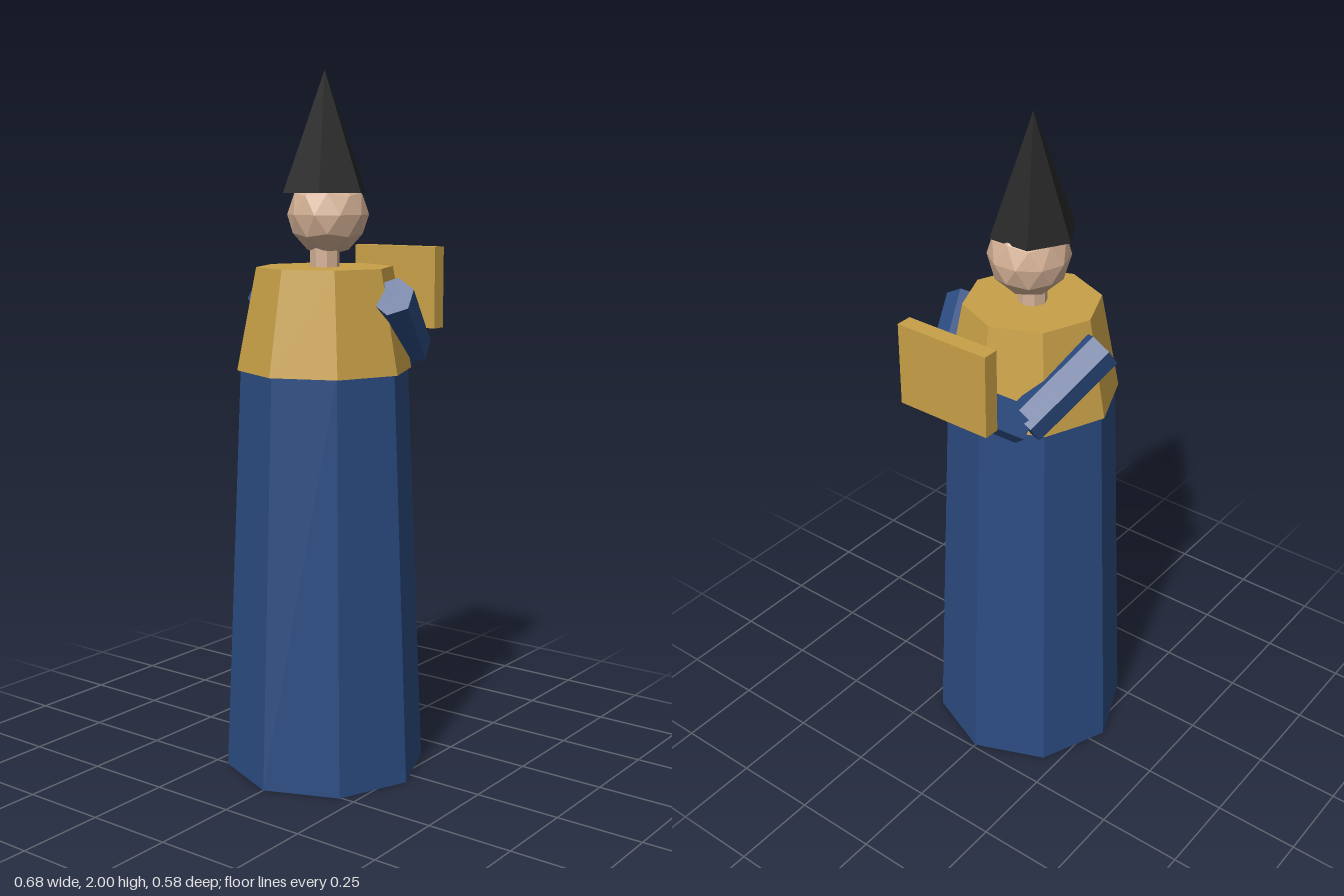
import * as THREE from 'three';

export function createModel() {
  const model = new THREE.Group();
  model.name = 'robedReader';

  const material = (name, color) => {
    const m = new THREE.MeshStandardMaterial({ color, flatShading: true });
    m.name = name;
    return m;
  };
  const blue = material('robeBlue', 0x2c4c82);
  const gold = material('gold', 0xc8a047);
  const skin = material('skin', 0xd6b297);
  const black = material('hatBlack', 0x222222);

  const add = (name, geometry, mat, x, y, z = 0) => {
    const mesh = new THREE.Mesh(geometry, mat);
    mesh.name = name;
    mesh.position.set(x, y, z);
    model.add(mesh);
    return mesh;
  };

  // Upright frustum between two heights on the body axis
  const axisX = -0.05;
  const frustum = (name, mat, y0, y1, r0, r1, sides) =>
    add(name, new THREE.CylinderGeometry(r1, r0, y1 - y0, sides), mat, axisX, (y0 + y1) / 2);

  // Faceted ball with one corner pointing straight up
  const ball = (radius, detail) =>
    new THREE.IcosahedronGeometry(radius, detail).rotateZ(Math.atan(2 / (1 + Math.sqrt(5))));

  // Six-sided limb between two points
  const limb = (name, a, b, r0, r1) => {
    const dir = b.clone().sub(a);
    const mid = a.clone().add(b).multiplyScalar(0.5);
    const mesh = add(name, new THREE.CylinderGeometry(r1, r0, dir.length(), 6), blue, mid.x, mid.y, mid.z);
    mesh.quaternion.setFromUnitVectors(new THREE.Vector3(0, 1, 0), dir.normalize());
  };

  // Body
  frustum('robe', blue, 0, 1.18, 0.29, 0.24, 8);
  frustum('cape', gold, 1.17, 1.46, 0.25, 0.194, 8);
  frustum('neck', skin, 1.44, 1.54, 0.042, 0.042, 8);
  add('head', ball(0.115, 1), skin, -0.035, 1.605);
  frustum('hat', black, 1.665, 2, 0.125, 0, 6);

  // Bent arms and hands, mirrored across z
  for (const [side, s] of [['left', -1], ['right', 1]]) {
    const shoulder = new THREE.Vector3(-0.05, 1.387, 0.233 * s);
    const elbow = new THREE.Vector3(0.175, 1.22, 0.142 * s);
    const wrist = new THREE.Vector3(0.267, 1.292, 0.05 * s);
    limb(side + 'UpperArm', shoulder, elbow, 0.06, 0.06);
    limb(side + 'Forearm', elbow, wrist, 0.054, 0.052);
    add(side + 'Hand', ball(0.037, 0), skin, 0.283, 1.308, 0.038 * s);
  }

  // Book held up at chest height
  add('book', new THREE.BoxGeometry(0.047, 0.24, 0.29), gold, 0.317, 1.385);

  return model;
}
